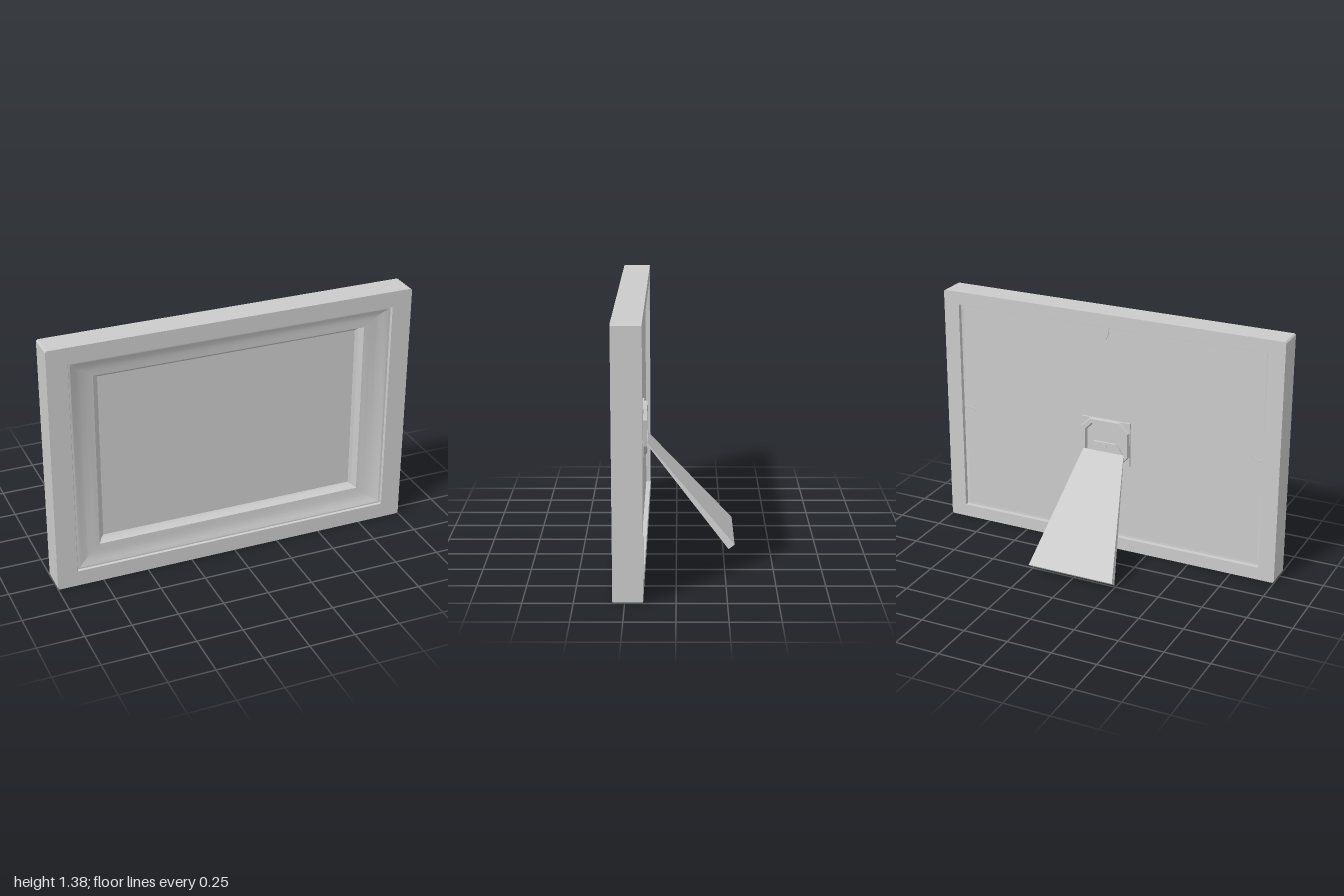
import * as THREE from 'three';
import { toCreasedNormals } from 'three/addons/utils/BufferGeometryUtils.js';

const CY = 0.6875; // frame mid height

function createMaterial() {
  return new THREE.MeshStandardMaterial({ color: 0xcccccc });
}

// Sweep a closed list of [halfWidth, halfHeight, cornerCut, z] rectangles into a ring
function rectRing(loops) {
  const pos = [], idx = [], n = loops.length;
  for (const [w, h, c, z] of loops) {
    const pts = [[w, -h + c], [w, h - c], [w - c, h], [-w + c, h],
      [-w, h - c], [-w, -h + c], [-w + c, -h], [w - c, -h]];
    for (const [x, y] of pts) pos.push(x, y, z);
  }
  for (let i = 0; i < n; i++) {
    for (let j = 0; j < 8; j++) {
      const k = (j + 1) % 8, m = (i + 1) % n;
      const a = i * 8 + j, b = i * 8 + k, c = m * 8 + k, d = m * 8 + j;
      idx.push(a, b, c, a, c, d);
    }
  }
  const geo = new THREE.BufferGeometry();
  geo.setAttribute('position', new THREE.Float32BufferAttribute(pos, 3));
  geo.setIndex(idx);
  return toCreasedNormals(geo, 0.4);
}

export function createModel() {
  const model = new THREE.Group();
  const material = createMaterial();
  const add = (name, geo, x = 0, y = 0, z = 0, parent = model) => {
    const mesh = new THREE.Mesh(geo, material);
    mesh.name = name;
    mesh.position.set(x, y, z);
    parent.add(mesh);
    return mesh;
  };

  // Frame moulding: outer box, stepped cove, inner lip, rebate at the back
  const profile = [
    [1, 0.16], [1, 0.31], [0.89, 0.31], [0.885, 0.298], [0.875, 0.298],
    [0.85, 0.286], [0.82, 0.276], [0.785, 0.269], [0.75, 0.266],
    [0.732, 0.238], [0.717, 0.228], [0.717, 0.21], [0.908, 0.185], [0.908, 0.16],
  ];
  add('frame', rectRing(profile.map(([w, z]) =>
    [w, CY - (1 - w) * 0.79, w === 1 ? 0.008 : 0.0005, z])), 0, CY);

  // Picture pane and backing board
  add('picture', new THREE.BoxGeometry(1.46, 0.95, 0.012), 0, CY, 0.221);
  add('backBoard', new THREE.BoxGeometry(1.816, 1.23, 0.015), 0, CY, 0.1945);

  // Thin bent retaining pins, one in the middle of each side of the rebate
  const pinCurve = new THREE.CatmullRomCurve3([
    new THREE.Vector3(0, 0, 0), new THREE.Vector3(0.003, -0.04, 0),
    new THREE.Vector3(0.018, -0.08, 0.003)]);
  const pinGeo = new THREE.TubeGeometry(pinCurve, 8, 0.003, 5);
  for (let i = 0; i < 4; i++) {
    const a = i * Math.PI / 2;
    const pin = add('retainingPin', pinGeo,
      -Math.sin(a) * 0.908, CY + Math.cos(a) * 0.614, 0.186);
    pin.rotation.z = a;
  }

  // Hinge bracket: square base, raised octagonal rim, hinge tab and rivet
  const bracket = new THREE.Group();
  bracket.name = 'hingeBracket';
  bracket.position.set(0.013, 0.638, 0);
  model.add(bracket);
  add('bracketBase', new THREE.BoxGeometry(0.294, 0.254, 0.012), 0, 0, 0.182, bracket);
  add('bracketRim', rectRing([
    [0.14, 0.125, 0.055, 0.157], [0.147, 0.127, 0.055, 0.18],
    [0.108, 0.092, 0.035, 0.18], [0.115, 0.1, 0.038, 0.157],
  ]), 0, 0, 0, bracket);
  const tab = new THREE.Shape([[-0.11, -0.06], [0.11, -0.06], [0.085, -0.025],
    [0.065, -0.005], [-0.065, -0.005], [-0.085, -0.025]].map(p => new THREE.Vector2(...p)));
  add('hingeTab', new THREE.ExtrudeGeometry(tab, { depth: 0.016, bevelEnabled: false }),
    0, 0, 0.161, bracket);
  add('rivet', new THREE.CylinderGeometry(0.013, 0.013, 0.008, 16).rotateX(Math.PI / 2),
    0, -0.028, 0.16, bracket);

  // Easel leg: a box reshaped into a wedge that widens and thickens downward
  const leg = new THREE.BoxGeometry(1, 1, 1);
  const p = leg.attributes.position;
  for (let i = 0; i < p.count; i++) {
    const top = p.getY(i) > 0, right = p.getX(i) > 0, front = p.getZ(i) > 0;
    const x = top ? (right ? 0.138 : -0.106) : (right ? 0.243 : -0.257);
    const y = top ? (front ? 0.578 : 0.582) : (front ? 0.025 : 0.05);
    const z = top ? (front ? 0.16 : 0.156) : (front ? -0.278 : -0.31);
    p.setXYZ(i, x, y, z);
  }
  leg.computeVertexNormals();
  add('easelLeg', leg);

  return model;
}
